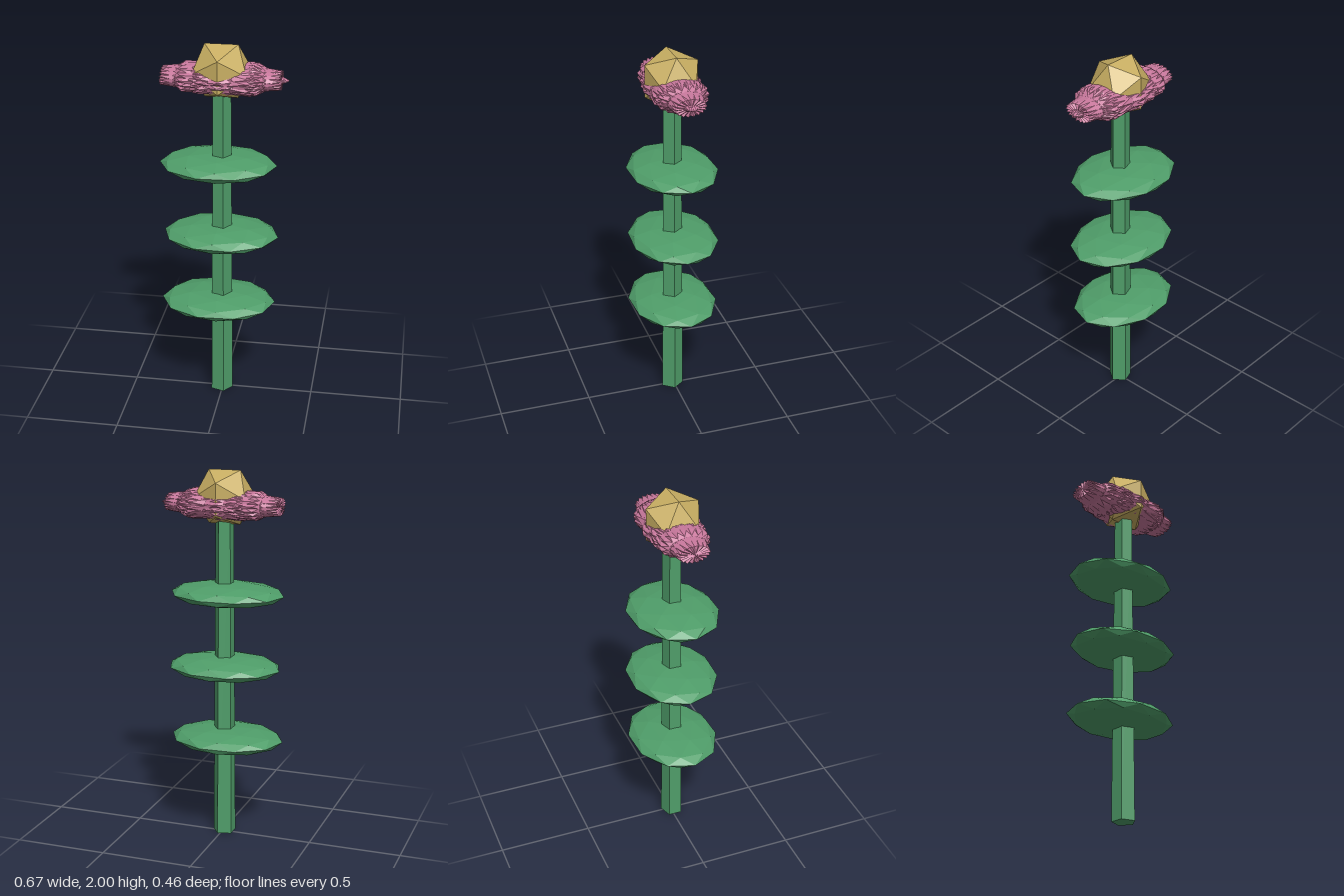
import * as THREE from 'three';

const material = (color) => new THREE.MeshStandardMaterial({ color, flatShading: true });

export function createModel() {
  const model = new THREE.Group();
  const green = material(0x4f9d69);
  const pink = material(0xc8789c);
  const gold = material(0xc8ae62);
  const cx = -0.007, cz = 0.01;
  const poleTilt = Math.atan((1 + Math.sqrt(5)) / 2);

  const add = (parent, name, geometry, mat, x, y, z) => {
    const mesh = new THREE.Mesh(geometry, mat);
    mesh.name = name;
    mesh.position.set(x, y, z);
    parent.add(mesh);
    return mesh;
  };

  // Five-sided tapering stem with one corner towards +x
  const stem = new THREE.CylinderGeometry(0.05, 0.063, 1.8, 5);
  stem.rotateY(Math.PI / 2);
  add(model, 'stem', stem, green, cx, 0.9, cz);

  // Three flat, faceted leaf discs stacked up the stem
  const leaves = new THREE.Group();
  leaves.name = 'leaves';
  model.add(leaves);
  [[-0.025, 0.55, 0.06], [-0.01, 0.95, -0.06], [-0.025, 1.35, 0.05]].forEach(([x, y, yaw], i) => {
    const leaf = new THREE.IcosahedronGeometry(1, 1);
    leaf.rotateX(-poleTilt); // a corner points straight up
    leaf.rotateY(yaw);
    leaf.scale(0.31, 0.06, 0.237);
    add(leaves, `leaf${i + 1}`, leaf, green, x, y, 0.002);
  });

  // Spiky blossom: icosahedra turned about the long axis, then flattened
  const petals = new THREE.Group();
  petals.name = 'petals';
  model.add(petals);
  const count = 9;
  for (let i = 0; i < count; i++) {
    const turn = (i / count) * Math.PI;
    const blunt = new THREE.IcosahedronGeometry(1, 0);
    blunt.rotateX(turn);
    blunt.scale(0.365, 0.0875, 0.155);
    add(petals, `bluntPetal${i + 1}`, blunt, pink, cx, 1.822, 0.006);

    const pointed = new THREE.IcosahedronGeometry(1, 0);
    pointed.rotateX(-poleTilt);
    pointed.rotateZ(-Math.PI / 2); // corners at both ends of the long axis
    pointed.rotateX(turn * 0.4 + 0.1);
    pointed.rotateY(0.1 * Math.sin(i * 2.4));
    pointed.scale(0.322, 0.09, 0.158);
    add(petals, `pointedPetal${i + 1}`, pointed, pink, 0.018, 1.822, 0.006);
  }

  // Faceted flower centre
  add(model, 'flowerCentre', new THREE.IcosahedronGeometry(0.165, 0), gold, cx, 1.86, cz);

  return model;
}
